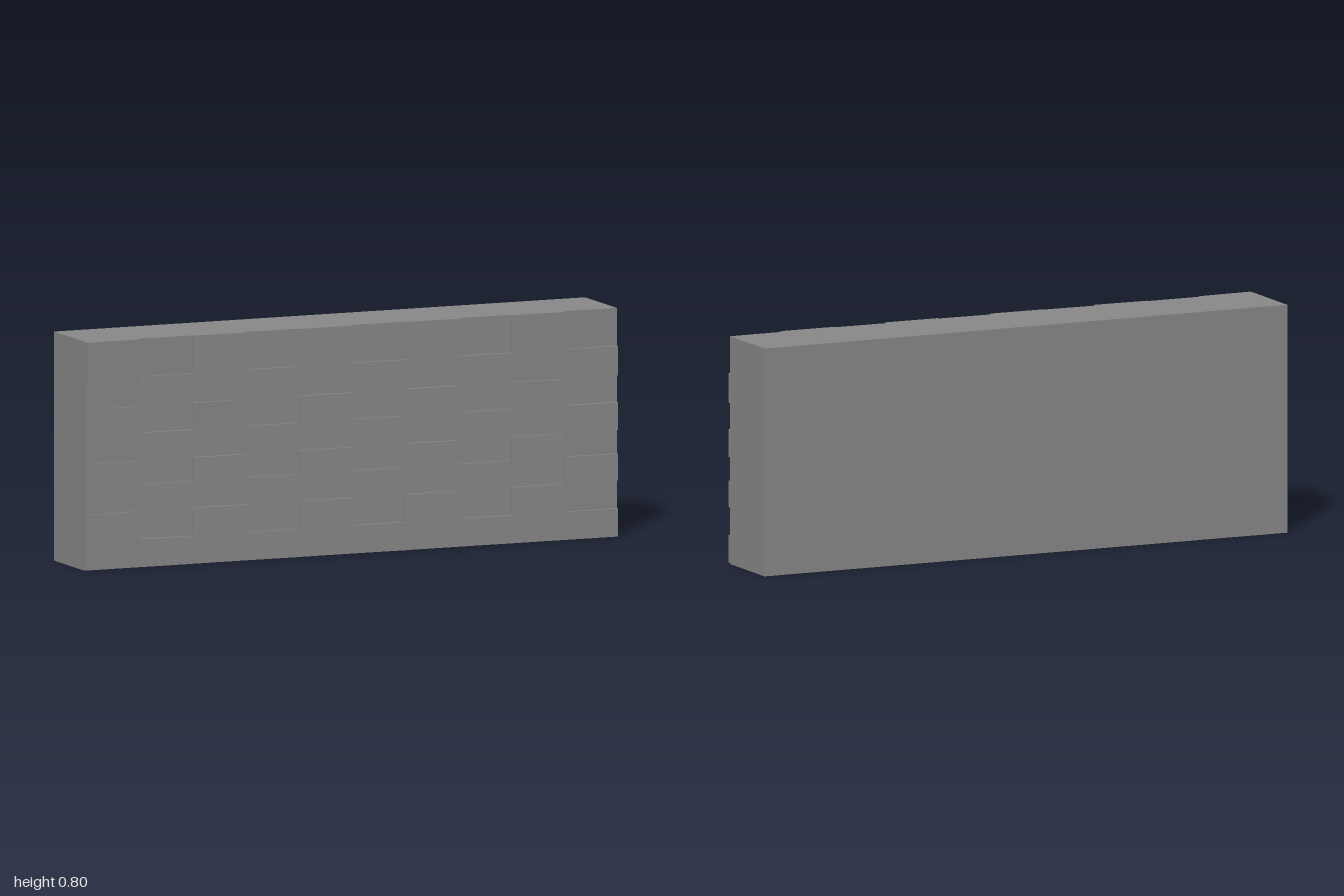
import * as THREE from 'three';

export function createModel() {
  const group = new THREE.Group();
  group.name = 'stoneWall';
  const material = new THREE.MeshStandardMaterial({ color: 0x888888, flatShading: true });

  // Box between two x and two y values, whose front and back depth differ at each end
  function slab(name, x0, x1, y0, y1, back, front) {
    const geo = new THREE.BoxGeometry(x1 - x0, y1 - y0, 1);
    geo.translate((x0 + x1) / 2, (y0 + y1) / 2, 0);
    const p = geo.attributes.position;
    for (let i = 0; i < p.count; i++) {
      const end = p.getX(i) < (x0 + x1) / 2 ? 0 : 1;
      p.setZ(i, p.getZ(i) > 0 ? front[end] : back[end]);
    }
    geo.computeVertexNormals();
    const mesh = new THREE.Mesh(geo, material);
    mesh.name = name;
    group.add(mesh);
  }

  // Small seeded jitter in -1..1
  let seed = 7;
  const jitter = () => {
    seed = (seed * 16807) % 2147483647;
    return (seed / 2147483647) * 2 - 1;
  };

  // Plain body behind the blocks
  slab('wallCore', -1, 1, 0, 0.797, [-0.143, -0.148], [0.12, 0.12]);

  // Courses of uneven stone blocks, alternately proud and set back
  const courses = [0.003, 0.1, 0.197, 0.291, 0.373, 0.47, 0.563, 0.666, 0.797];
  const leftEnd = [0.137, 0.144, 0.138, 0.141, 0.136, 0.14, 0.138, 0.148];
  const columns = 10;
  const width = 2 / columns;
  for (let row = 0; row < courses.length - 1; row++) {
    const rightEnd = row % 2 ? 0.124 : 0.136;
    for (let col = 0; col < columns; col++) {
      const x0 = -1 + col * width;
      const step = (row + col) % 2 ? 0.005 : -0.005;
      const middle = 0.136 - 0.004 * (col / (columns - 1)) + step + 0.0015 * jitter();
      const yaw = 0.0015 + 0.0015 * jitter();
      const zLeft = col === 0 ? leftEnd[row] : middle - yaw;
      const zRight = col === columns - 1 ? rightEnd : middle + yaw;
      slab('stoneBlock', x0, x0 + width, courses[row], courses[row + 1], [0.119, 0.119], [zLeft, zRight]);
    }
  }
  return group;
}
